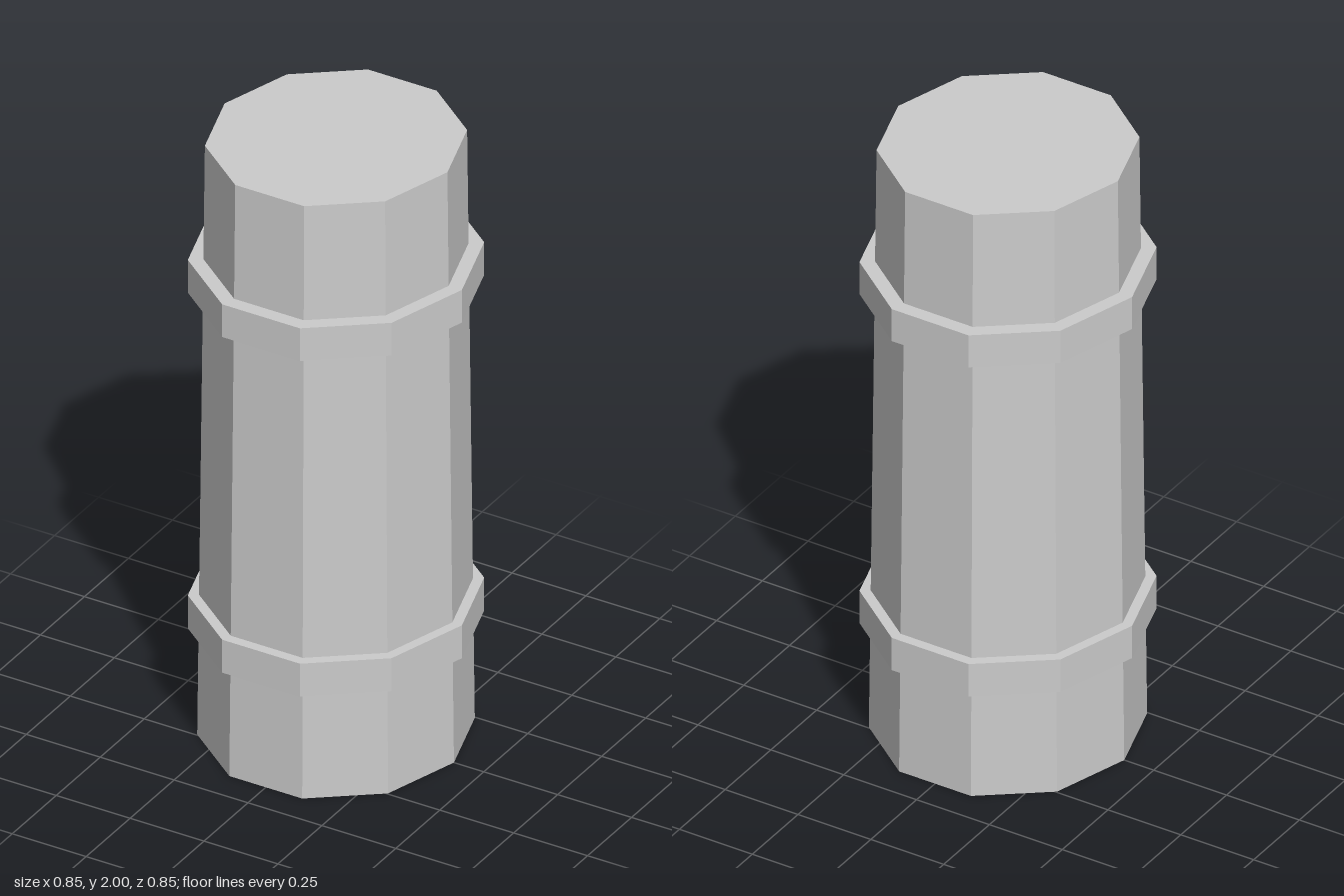
import * as THREE from 'three';

export function createModel() {
  const model = new THREE.Group();
  model.name = 'bandedColumn';

  const stone = new THREE.MeshStandardMaterial({ color: 0xcccccc });
  stone.name = 'light grey';
  stone.flatShading = true;

  const SIDES = 10;
  // stretches the decagon so its flats reach as far in z as its corners in x
  const DEPTH = 1 / Math.cos(Math.PI / SIDES);

  // ten-sided drum with corners on the x axis
  function drum(name, topRadius, bottomRadius, y0, y1) {
    const geometry = new THREE.CylinderGeometry(
      topRadius, bottomRadius, y1 - y0, SIDES, 1, false, Math.PI / 2);
    geometry.scale(1, 1, DEPTH);
    geometry.translate(0, (y0 + y1) / 2, 0);
    const mesh = new THREE.Mesh(geometry, stone);
    mesh.name = name;
    model.add(mesh);
  }

  // slightly tapering shaft
  drum('shaft', 0.377, 0.399, 0, 2);

  // raised bands
  drum('lowerBand', 0.426, 0.426, 0.363, 0.475);
  drum('upperBand', 0.426, 0.426, 1.504, 1.615);

  return model;
}
